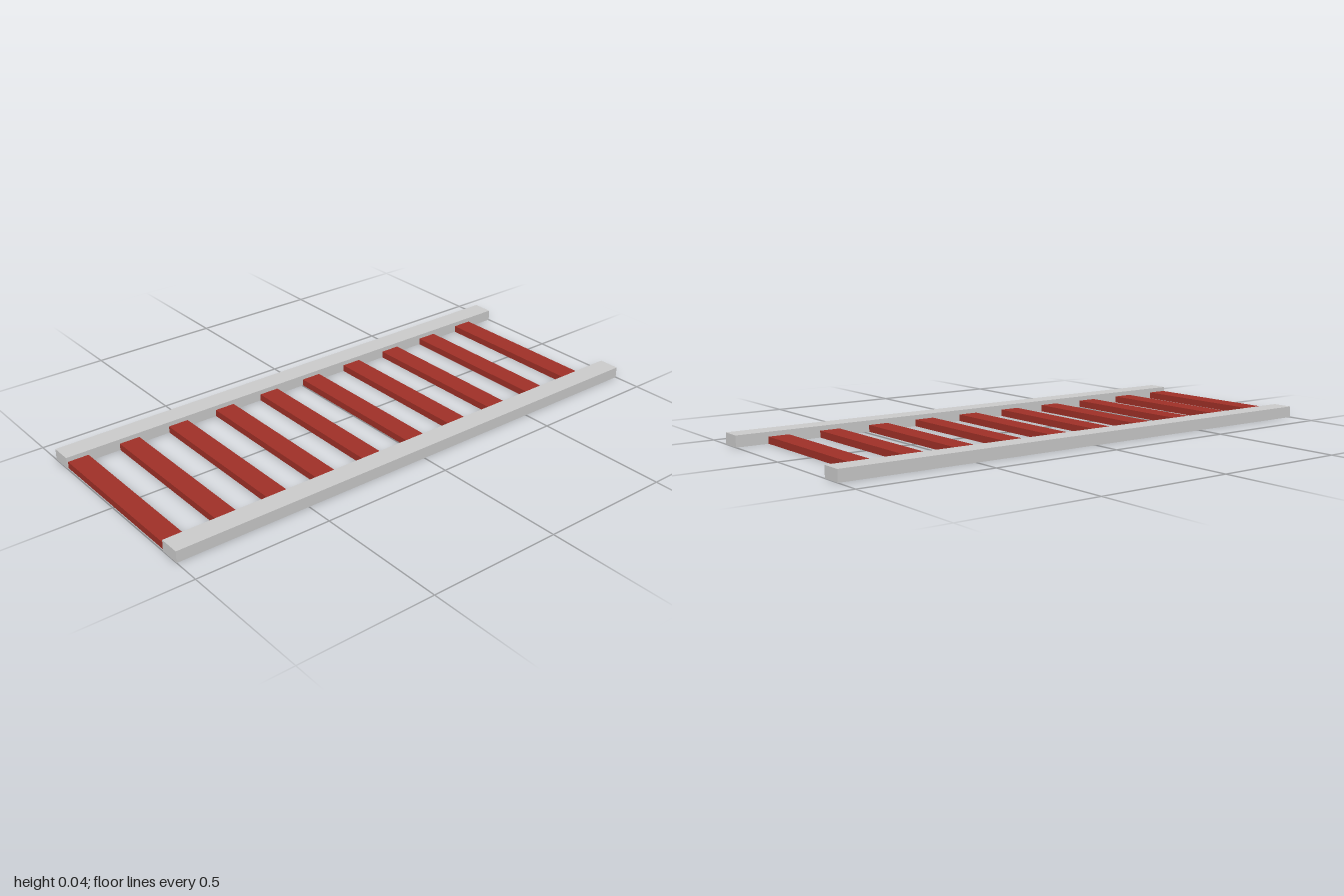
import * as THREE from 'three';

export function createModel() {
  const model = new THREE.Group();
  const railMaterial = new THREE.MeshStandardMaterial({ color: 0xcccccc });
  const rungMaterial = new THREE.MeshStandardMaterial({ color: 0xa03027 });

  const railWidth = 0.079, railHeight = 0.042, outerX = 0.394;
  const rungHeight = 0.025, rungDepth = 0.078, rungCount = 10;
  const rungLength = 2 * (outerX - railWidth);

  function addBox(name, size, x, z, material) {
    const mesh = new THREE.Mesh(new THREE.BoxGeometry(...size), material);
    mesh.name = name;
    mesh.position.set(x, size[1] / 2, z);
    model.add(mesh);
  }

  // Two long side rails
  for (const side of [1, -1]) {
    addBox(side > 0 ? 'leftRail' : 'rightRail', [railWidth, railHeight, 2],
      side * (outerX - railWidth / 2), 0, railMaterial);
  }

  // Evenly spaced flat rungs, offset towards the front end
  for (let i = 0; i < rungCount; i++) {
    addBox(`rung${i + 1}`, [rungLength, rungHeight, rungDepth],
      0, -0.84 + i * 0.1995, rungMaterial);
  }

  return model;
}
